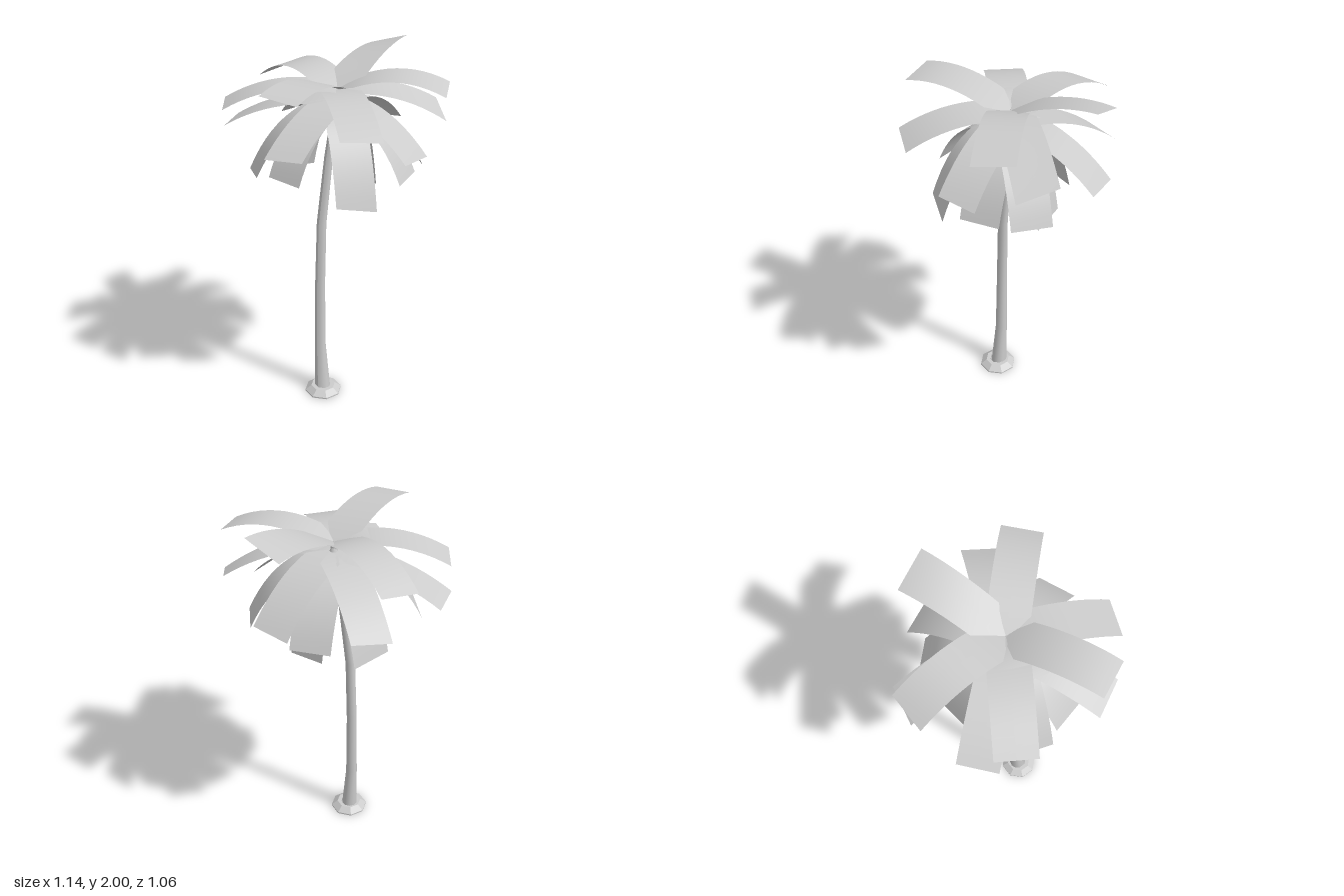
import * as THREE from 'three';

const grey = new THREE.MeshStandardMaterial({ color: 0xcccccc });
const leafGrey = new THREE.MeshStandardMaterial({ color: 0xcccccc, side: THREE.DoubleSide });
const CROWN = new THREE.Vector3(0.018, 1.8, -0.014);

function add(group, name, geometry, material) {
  const mesh = new THREE.Mesh(geometry, material);
  mesh.name = name;
  group.add(mesh);
  return mesh;
}

// Bent trunk: cylinder rings moved onto a leaning path, thinner upwards
function trunkGeometry() {
  const path = [
    [-0.013, 0, 0.09, 0.047], [-0.033, 0.3, 0.083, 0.033], [-0.035, 0.7, 0.077, 0.029],
    [-0.03, 1.08, 0.066, 0.027], [-0.012, 1.45, 0.024, 0.024], [0.02, 1.8, -0.012, 0.018],
  ];
  const geo = new THREE.CylinderGeometry(1, 1, 1, 10, path.length - 1);
  const pos = geo.attributes.position;
  for (let i = 0; i < pos.count; i++) {
    const [x, y, z, r] = path[Math.round((pos.getY(i) + 0.5) * (path.length - 1))];
    pos.setXYZ(i, x + pos.getX(i) * r, y, z + pos.getZ(i) * r);
  }
  geo.computeVertexNormals();
  return geo;
}

// Arched strip from startY on the crown to a tip; roll lifts one edge of the tip
function frondGeometry({ startY, bendY, reach }, [x, y, z, roll = 0]) {
  const start = new THREE.Vector3(CROWN.x, startY, CROWN.z);
  const out = new THREE.Vector3(x - CROWN.x, 0, z - CROWN.z);
  const bend = new THREE.Vector3(CROWN.x, bendY(y), CROWN.z).addScaledVector(out, reach);
  const curve = new THREE.QuadraticBezierCurve3(start, bend, new THREE.Vector3(x, y, z));
  const dir = out.clone().normalize();
  const geo = new THREE.PlaneGeometry(1, 1, 2, 12);
  const pos = geo.attributes.position;
  const p = new THREE.Vector3();
  for (let i = 0; i < pos.count; i++) {
    const s = pos.getX(i) * 2, t = pos.getY(i) + 0.5;
    const half = 0.02 + 0.084 * Math.min(1, t * 6);
    curve.getPoint(t, p);
    pos.setXYZ(i, p.x - dir.z * s * half, p.y + roll * s * t, p.z + dir.x * s * half);
  }
  geo.computeVertexNormals();
  return geo;
}

// Frond tiers: how each arches, and its tips (x, y, z, roll)
const tiers = [
  {
    name: 'innerFrond', startY: 1.82, reach: 0.5, bendY: () => 1.87,
    tips: [[-0.128, 1.84, 0.193]],
  },
  {
    name: 'upperFrond', startY: 1.82, reach: 0.52,
    bendY: (y) => THREE.MathUtils.clamp(1.89 + 2 * (y - 1.74), 1.85, 1.98),
    tips: [
      [0.02, 1.967, -0.528, 0.033], [0.05, 1.91, 0.525, 0.008], [0.53, 1.85, -0.23, -0.01],
      [-0.525, 1.785, -0.21, 0.015], [-0.45, 1.75, 0.325], [0.405, 1.735, 0.365, 0.01],
      [0.415, 1.68, -0.395, -0.03],
    ],
  },
  {
    name: 'middleFrond', startY: 1.77, reach: 0.55, bendY: () => 1.77,
    tips: [
      [-0.54, 1.6, 0.17], [0.07, 1.62, 0.525, -0.01], [0.495, 1.54, 0, 0.01],
      [0, 1.53, -0.522, 0.01], [-0.45, 1.55, -0.315, 0.015],
    ],
  },
  {
    name: 'hangingFrond', startY: 1.755, reach: 0.65, bendY: () => 1.745,
    tips: [
      [-0.15, 1.43, -0.41], [0.33, 1.41, -0.32], [-0.035, 1.435, 0.385],
      [-0.28, 1.405, 0.32, -0.015], [0.41, 1.4, -0.07], [0.31, 1.32, 0.25, 0.02],
      [0.02, 1.245, -0.24, -0.008], [-0.3, 1.295, -0.11, -0.015],
    ],
  },
];

export function createModel() {
  const tree = new THREE.Group();
  tree.name = 'palmTree';

  add(tree, 'trunk', trunkGeometry(), grey);

  // Sloped collar on the ground, hollow below
  const collar = [[0.045, 0.035], [0.07, 0.035], [0.106, 0.008], [0.106, 0], [0.075, 0], [0.045, 0.025]]
    .map(([r, y]) => new THREE.Vector2(r, y)).reverse();
  const flat = grey.clone();
  flat.flatShading = true;
  flat.side = THREE.DoubleSide;
  add(tree, 'rootCollar', new THREE.LatheGeometry(collar, 8), flat).position.set(-0.006, 0, 0.095);

  // Small bud where the fronds meet
  add(tree, 'crownBud', new THREE.ConeGeometry(0.022, 0.06, 8), grey).position.copy(CROWN);

  const fronds = new THREE.Group();
  fronds.name = 'fronds';
  for (const tier of tiers) {
    for (const tip of tier.tips) add(fronds, tier.name, frondGeometry(tier, tip), leafGrey);
  }
  tree.add(fronds);
  return tree;
}
